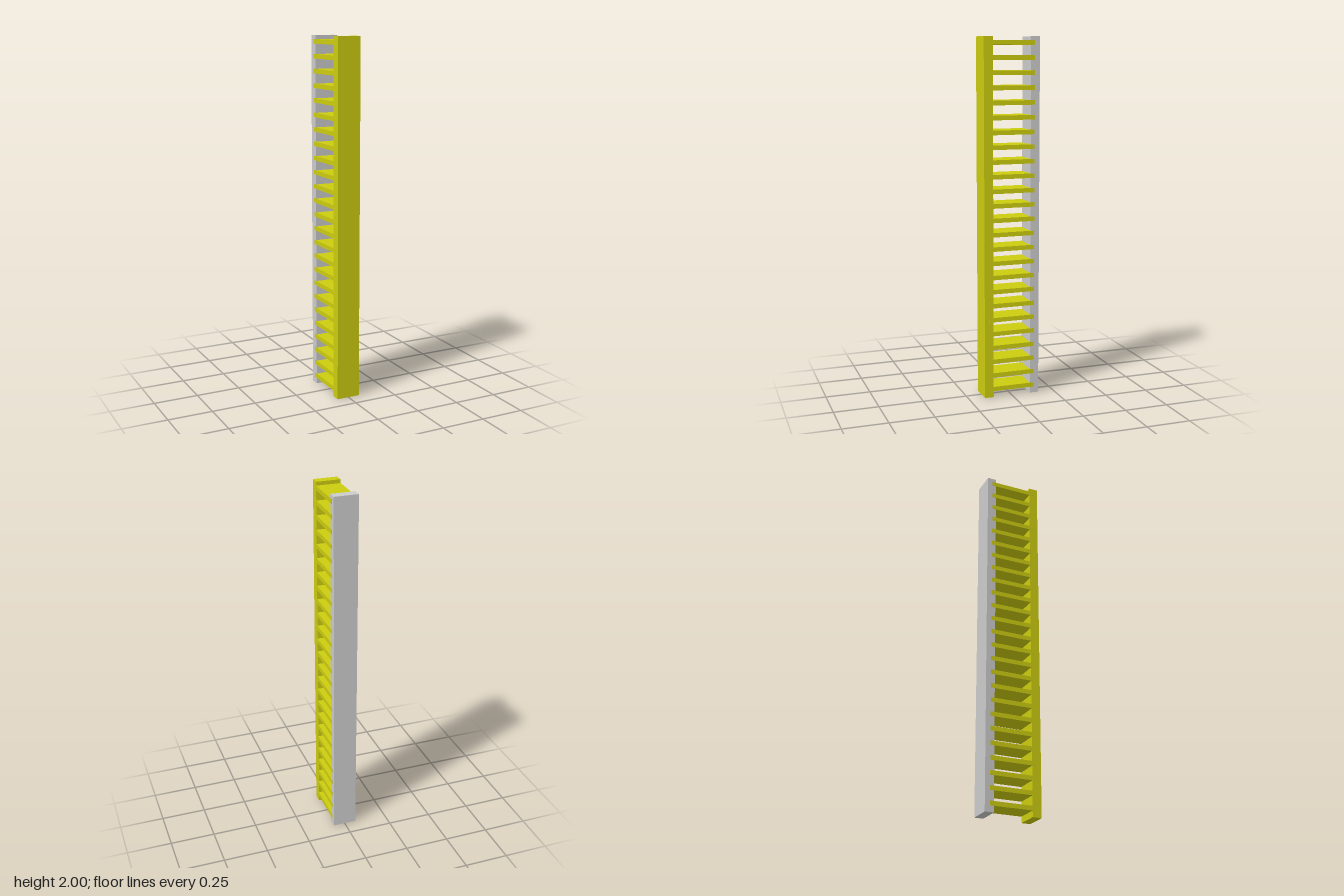
import * as THREE from 'three';

export function createModel() {
  const model = new THREE.Group();
  const yellow = new THREE.MeshStandardMaterial({ color: 0xcccc10 });
  const grey = new THREE.MeshStandardMaterial({ color: 0xcccccc });
  const width = 0.134, height = 2, depth = 0.051, railZ = 0.134;

  function addBox(name, size, position, material) {
    const mesh = new THREE.Mesh(new THREE.BoxGeometry(...size), material);
    mesh.name = name;
    mesh.position.set(...position);
    model.add(mesh);
  }

  // Two upright rails
  addBox('frontRail', [width, height, depth], [0, height / 2, railZ], yellow);
  addBox('backRail', [width, height, depth], [0, height / 2, -railZ], grey);

  // Evenly spaced rungs let into both rails, a hair proud of their sides
  const rungCount = 25, firstY = 0.047, spacing = 0.08;
  for (let i = 0; i < rungCount; i++) {
    addBox(`rung${i + 1}`, [width + 0.001, 0.025, 0.262], [0, firstY + i * spacing, 0], yellow);
  }
  return model;
}
